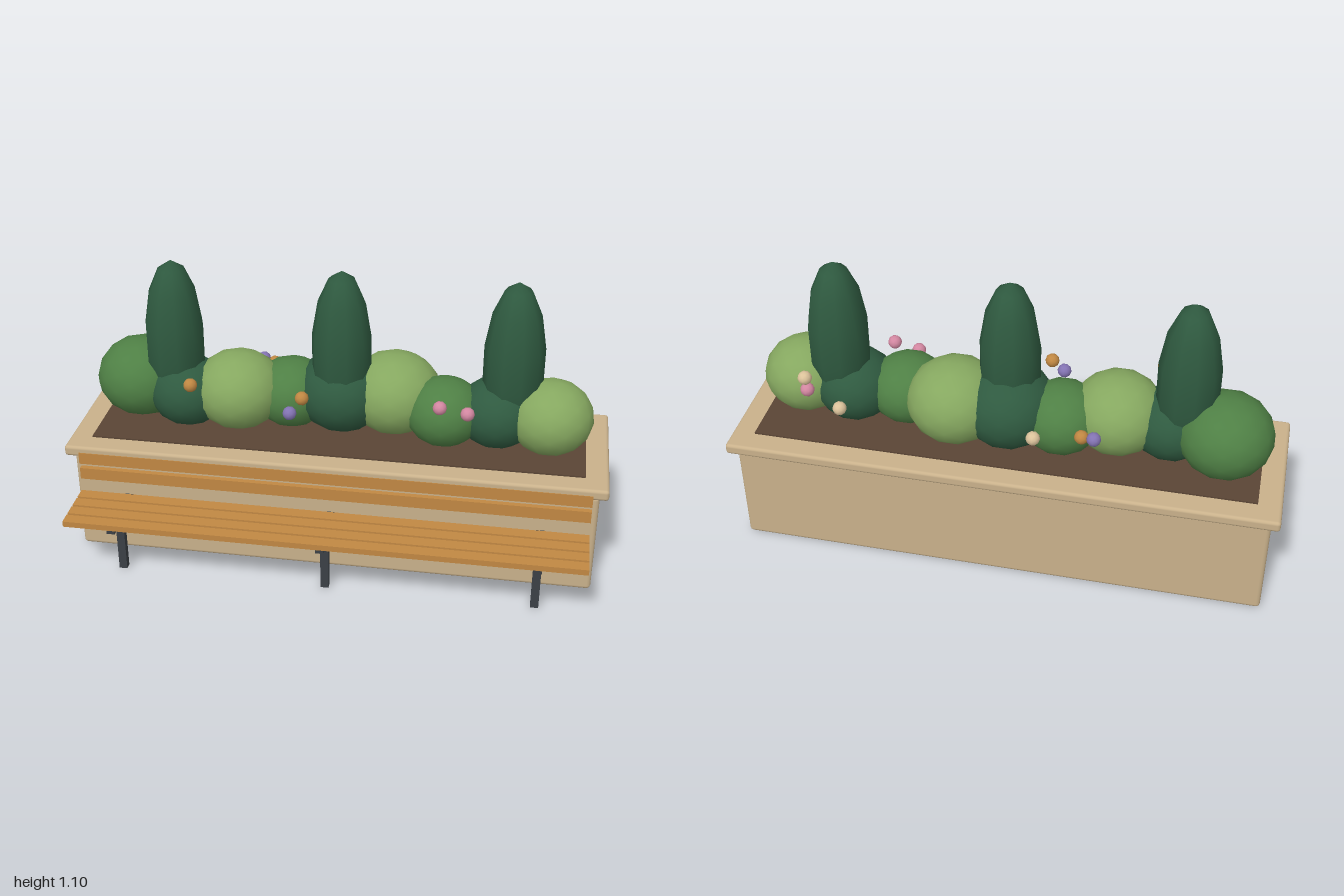
import * as THREE from 'three';
import { RoundedBoxGeometry } from 'three/addons/geometries/RoundedBoxGeometry.js';

const paint = (name, color) => {
  const m = new THREE.MeshStandardMaterial({ color });
  m.name = name;
  return m;
};

export function createModel() {
  const model = new THREE.Group();
  model.name = 'planterBench';

  const stone = paint('sandstone', 0xc9b18b);
  const wood = paint('amberWood', 0xc18843);
  const soil = paint('soil', 0x5a4535);
  const metal = paint('darkMetal', 0x3b4046);
  const dark = paint('darkGreen', 0x2f5a40);
  const mid = paint('midGreen', 0x4f8045);
  const light = paint('lightGreen', 0x86a860);
  const pink = paint('pink', 0xd488a2);
  const purple = paint('purple', 0x8474b4);
  const cream = paint('cream', 0xddc49c);

  const add = (name, geometry, material, x, y, z, parent = model) => {
    const mesh = new THREE.Mesh(geometry, material);
    mesh.name = name;
    mesh.position.set(x, y, z);
    parent.add(mesh);
    return mesh;
  };
  const group = (name) => {
    const g = new THREE.Group();
    g.name = name;
    model.add(g);
    return g;
  };

  // Planter: body, overhanging rim and soil bed
  const planter = group('planter');
  add('planterBody', new RoundedBoxGeometry(1.94, 0.4, 0.512, 2, 0.015), stone, 0, 0.2, -0.111, planter);
  add('planterRim', new RoundedBoxGeometry(2, 0.042, 0.572, 2, 0.012), stone, 0, 0.425, -0.114, planter);
  add('soilBed', new THREE.BoxGeometry(1.83, 0.02, 0.405), soil, 0, 0.442, -0.113, planter);

  // Bench: four seat slats, two back slats, three bracket-and-leg frames
  const bench = group('bench');
  const seatSlat = new THREE.BoxGeometry(1.89, 0.022, 0.047);
  for (let i = 0; i < 4; i++) {
    add('seatSlat', seatSlat, wood, 0, 0.254, 0.376 - i * 0.0573, bench);
  }
  const backSlat = new THREE.BoxGeometry(1.89, 0.046, 0.02);
  for (const y of [0.335, 0.4]) add('backSlat', backSlat, wood, 0, y, 0.165, bench);
  for (const x of [-0.77, 0, 0.77]) {
    add('seatBracket', new THREE.BoxGeometry(0.03, 0.022, 0.247), metal, x, 0.232, 0.264, bench);
    add('leg', new THREE.BoxGeometry(0.03, 0.222, 0.026), metal, x, 0.111, 0.273, bench);
  }

  // Row of round shrubs, evenly spaced: [colour, radius, z]
  const shrubs = group('shrubs');
  const ball = new THREE.IcosahedronGeometry(1, 2);
  [
    [mid, 0.172, -0.15], [dark, 0.15, -0.095], [light, 0.17, -0.1],
    [mid, 0.15, -0.145], [dark, 0.175, -0.143], [light, 0.177, -0.155],
    [mid, 0.147, -0.085], [dark, 0.15, -0.105], [light, 0.158, -0.085],
  ].forEach(([color, r, z], i) => {
    const bush = add('shrub', ball, color, (i - 4) * 0.194, 0.45 + r * 0.88, z, shrubs);
    bush.scale.set(r, r * 0.89, r);
  });

  // Three tall cypresses
  const cypress = new THREE.SphereGeometry(1, 10, 7);
  for (const x of [-0.63, 0, 0.63]) {
    add('cypress', cypress, dark, x, 0.775, -0.113, shrubs).scale.set(0.113, 0.323, 0.113);
  }

  // Blossoms: [colour, x, y, z]
  const blossoms = group('blossoms');
  const bud = new THREE.IcosahedronGeometry(0.026, 1);
  for (const [color, x, y, z] of [
    [wood, -0.527, 0.694, 0.08], [purple, -0.16, 0.613, 0.085], [wood, -0.118, 0.667, 0.065],
    [pink, 0.38, 0.657, 0.04], [pink, 0.482, 0.657, 0.07],
    [purple, -0.335, 0.628, -0.308], [wood, -0.29, 0.62, -0.295], [cream, -0.12, 0.59, -0.3],
    [cream, 0.592, 0.587, -0.275], [cream, 0.703, 0.72, -0.295], [pink, 0.703, 0.66, -0.283],
  ]) add('blossom', bud, color, x, y, z, blossoms);

  return model;
}
